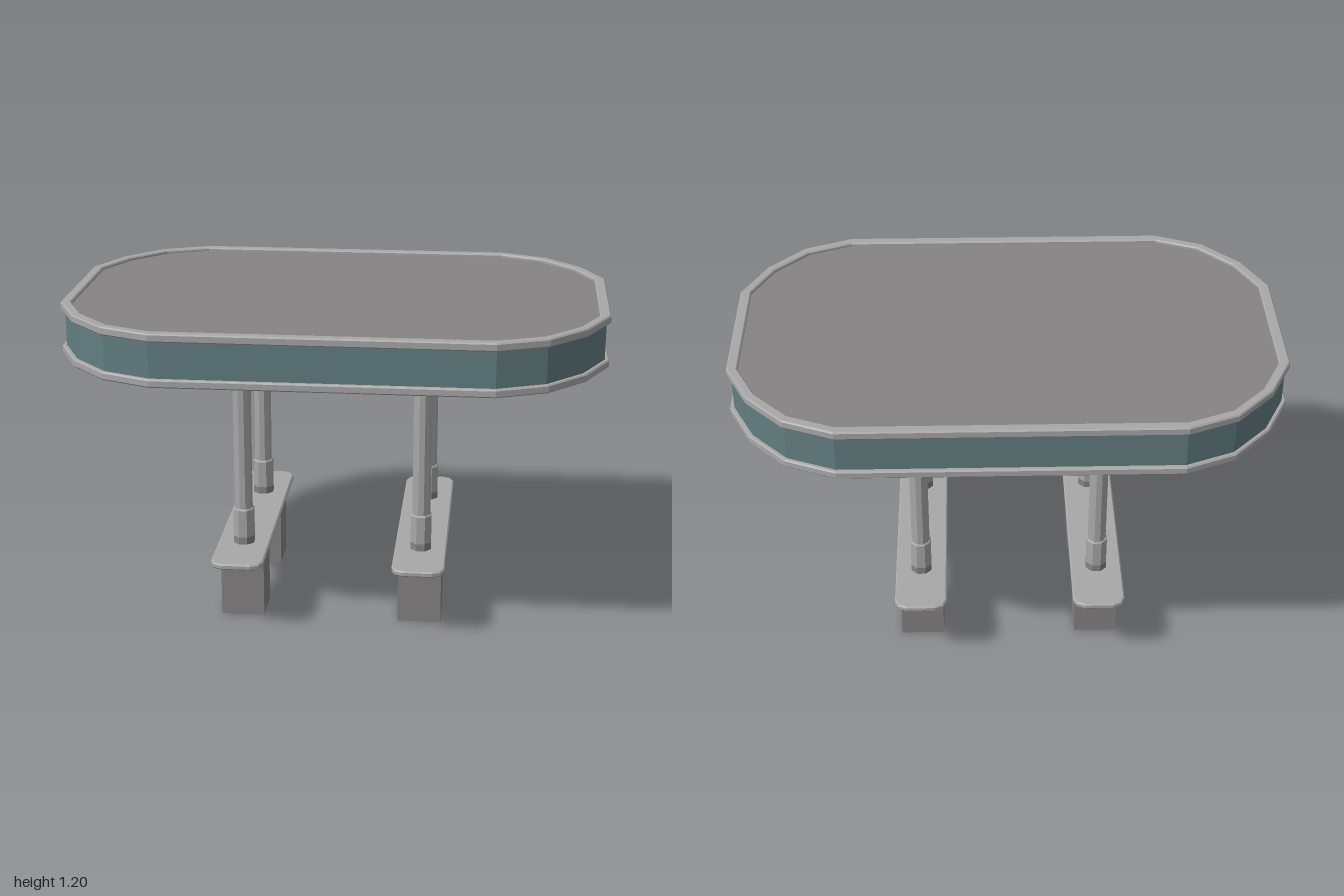
import * as THREE from 'three';

const mat = (name, color, side = THREE.FrontSide) => {
  const m = new THREE.MeshStandardMaterial({ color, side });
  m.name = name;
  return m;
};

// Corner of the canopy outline, relative to the corner centre
const CX = 0.6, CZ = 0.265, R = 0.4;
const CORNER = [[0.4, 0], [0.315, 0.18], [0.18, 0.325], [0, 0.4]];

// Rounded canopy outline, moved inwards by the given inset
function outline(inset, size = 1) {
  const k = (R - inset) / R;
  const quarter = CORNER.map(([x, z]) => [(CX + x * k) * size, (CZ + z * k) * size]);
  const back = [...quarter].reverse();
  return [
    ...quarter,
    ...back.map(([x, z]) => [-x, z]),
    ...quarter.map(([x, z]) => [-x, -z]),
    ...back.map(([x, z]) => [x, -z]),
  ];
}

// Sweep an [inset, y] profile round the outline with flat facets
function sweep(profile) {
  const rings = profile.map(([d, y]) => outline(d).map(([x, z]) => [x, y, z]));
  const n = rings[0].length, pos = [];
  for (let j = 0; j < rings.length - 1; j++) {
    for (let i = 0; i < n; i++) {
      const k = (i + 1) % n;
      const a = rings[j][i], b = rings[j + 1][i], c = rings[j + 1][k], d = rings[j][k];
      pos.push(...a, ...b, ...d, ...b, ...c, ...d);
    }
  }
  const g = new THREE.BufferGeometry();
  g.setAttribute('position', new THREE.Float32BufferAttribute(pos, 3));
  g.computeVertexNormals();
  return g;
}

// Flat sheet in the shape of the outline, facing up (1) or down (-1)
function sheet(inset, y, facing, size = 1) {
  const shape = new THREE.Shape(outline(inset, size).map(([x, z]) => new THREE.Vector2(x, z)));
  return new THREE.ShapeGeometry(shape).rotateX(-facing * Math.PI / 2).translate(0, y, 0);
}

// Bevelled rim profile, closed
const rim = (y0, y1) => [
  [0.035, y0], [0.005, y0], [0, y0 + 0.005], [0, y1 - 0.005],
  [0.005, y1], [0.035, y1], [0.04, y1 - 0.005], [0.04, y0 + 0.005], [0.035, y0],
];

export function createModel() {
  const concrete = mat('concrete grey', 0x868384);
  const metal = mat('light metal', 0xa8a8a8);
  const teal = mat('teal fascia', 0x627e81);
  const lens = mat('warm lamp lens', 0xc4b798);
  const model = new THREE.Group();
  model.name = 'canopy';

  const add = (parent, name, geometry, material, x = 0, y = 0, z = 0) => {
    const m = new THREE.Mesh(geometry, material);
    m.name = name;
    m.position.set(x, y, z);
    parent.add(m);
    return m;
  };

  // Roof: rims, fascia band, deck and soffit
  const roof = new THREE.Group();
  roof.name = 'roof';
  model.add(roof);
  add(roof, 'lowerRim', sweep(rim(1.003, 1.033)), metal);
  add(roof, 'upperRim', sweep(rim(1.167, 1.198)), metal);
  add(roof, 'fascia', sweep([[0.016, 1.025], [0.016, 1.175]]), teal);
  add(roof, 'deck', sheet(0.036, 1.185, 1), concrete);
  add(roof, 'soffit', sheet(0.036, 1.014, -1), concrete);
  add(roof, 'soffitPanel', sheet(0, 1.011, -1, 0.44), metal);

  // Ceiling lamps in two rows of four
  const bezelGeo = new THREE.CylinderGeometry(0.075, 0.065, 0.009, 8).toNonIndexed();
  bezelGeo.computeVertexNormals();
  const lensGeo = new THREE.CylinderGeometry(0.055, 0.055, 0.003, 8);
  for (const x of [-0.75, -0.25, 0.25, 0.75]) {
    for (const z of [-0.41, 0.41]) {
      const lamp = new THREE.Group();
      lamp.name = 'ceilingLamp';
      lamp.position.set(x, 1.0095, z);
      add(lamp, 'lampBezel', bezelGeo, metal);
      add(lamp, 'lampLens', lensGeo, lens, 0, -0.0045, 0);
      roof.add(lamp);
    }
  }

  // Base plate with clipped corners and a small bevel
  const b = 0.005, w = 0.0975 - b, l = 0.5 - b, c = 0.04;
  const plateShape = new THREE.Shape([
    [w, -l + c], [w, l - c], [w - c * 0.3, l - c * 0.3], [w - c, l],
    [-w + c, l], [-w + c * 0.3, l - c * 0.3], [-w, l - c], [-w, -l + c],
    [-w + c * 0.3, -l + c * 0.3], [-w + c, -l], [w - c, -l], [w - c * 0.3, -l + c * 0.3],
  ].map(([x, y]) => new THREE.Vector2(x, y)));
  const plateGeo = new THREE.ExtrudeGeometry(plateShape, {
    depth: 0.012, bevelEnabled: true, bevelSize: b, bevelThickness: b, bevelSegments: 1,
  }).rotateX(-Math.PI / 2).translate(0, 0.254 + b, 0);

  // Faceted post parts as lathes of [radius, y] points
  const turned = (points, sides) => {
    const g = new THREE.LatheGeometry(points.map(([r, y]) => new THREE.Vector2(r, y)), sides)
      .rotateY(Math.PI / sides).toNonIndexed();
    g.computeVertexNormals();
    return g;
  };
  const postGeo = turned([[0.034, 0.27], [0.034, 1.0]], 10);
  const sleeveGeo = turned([[0.041, 0.27], [0.041, 0.411], [0.037, 0.416], [0.03, 0.416]], 8);
  const stainGeo = turned([[0.0415, 0.275], [0.0415, 0.304]], 8);
  const collarGeo = turned([[0.03, 0.979], [0.042, 0.979], [0.051, 0.988], [0.051, 1.013]], 8);
  const blockGeo = new THREE.BoxGeometry(0.162, 0.256, 0.162);

  // Two support frames, each with a plate, two footings and two posts
  for (const x of [-0.335, 0.335]) {
    const frame = new THREE.Group();
    frame.name = 'supportFrame';
    frame.position.x = x;
    model.add(frame);
    add(frame, 'basePlate', plateGeo, metal);
    for (const s of [-1, 1]) {
      add(frame, 'footing', blockGeo, concrete, 0, 0.128, s * 0.25);
      add(frame, 'post', postGeo, metal, 0, 0, s * 0.267);
      add(frame, 'postSleeve', sleeveGeo, metal, 0, 0, s * 0.267);
      add(frame, 'sleeveBand', stainGeo, concrete, 0, 0, s * 0.267);
      add(frame, 'postCollar', collarGeo, metal, 0, 0, s * 0.267);
    }
  }
  return model;
}
